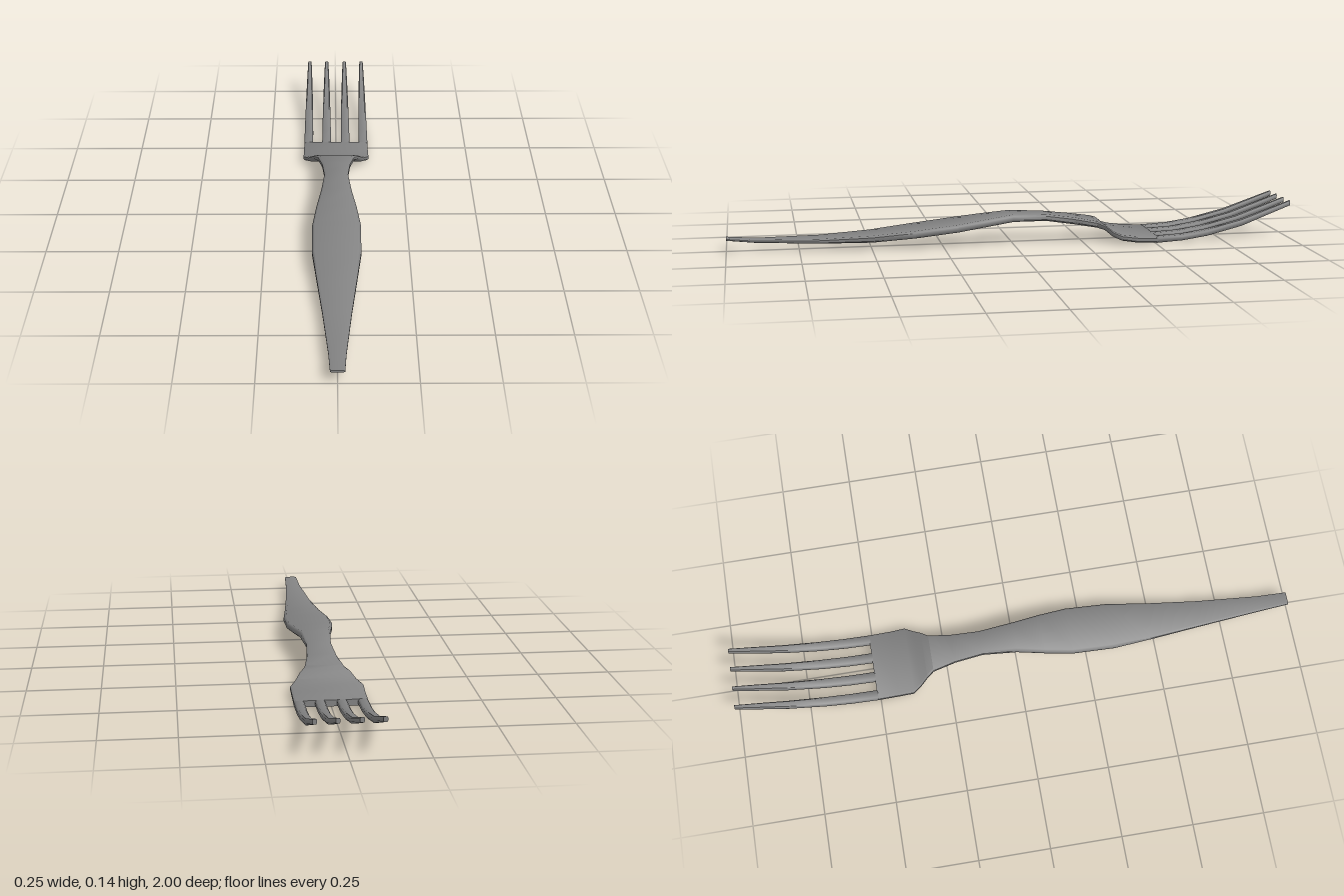
import * as THREE from 'three';
import { toCreasedNormals } from 'three/addons/utils/BufferGeometryUtils.js';

const material = new THREE.MeshStandardMaterial({ color: 0x848484 });

// Lofts a flat bar with bevelled edges through stations [z, centre x, half width, bottom y, top y]
function loft(name, stations) {
  const pos = [], index = [], n = 8;
  for (const [z, cx, w, bottom, top] of stations) {
    const m = (top + bottom) / 2, h = (top - bottom) / 2;
    const c = Math.min(0.008, w * 0.3), s = h * 0.5;
    const ring = [[w, -s], [w, s], [w - c, h], [c - w, h], [-w, s], [-w, -s], [c - w, -h], [w - c, -h]];
    for (const [x, y] of ring) pos.push(cx + x, m + y, z);
  }
  const last = (stations.length - 1) * n;
  for (let i = 0; i < last; i += n) {
    for (let j = 0; j < n; j++) {
      const a = i + j, b = i + (j + 1) % n;
      index.push(a, a + n, b, b, a + n, b + n);
    }
  }
  // End caps
  for (let j = 1; j < n - 1; j++) {
    index.push(0, j, j + 1, last, last + j + 1, last + j);
  }
  const geometry = new THREE.BufferGeometry();
  geometry.setAttribute('position', new THREE.Float32BufferAttribute(pos, 3));
  geometry.setIndex(index);
  const mesh = new THREE.Mesh(toCreasedNormals(geometry, 0.9), material);
  mesh.name = name;
  return mesh;
}

export function createModel() {
  const group = new THREE.Group();
  group.name = 'fork';

  // Handle: narrow end, wide grip, arched neck
  group.add(loft('handle', [
    [1, 0, 0.023, 0.041, 0.049],
    [0.9, 0, 0.028, 0.031, 0.041],
    [0.68, 0, 0.047, 0.024, 0.04],
    [0.5, 0, 0.066, 0.025, 0.049],
    [0.35, 0, 0.083, 0.038, 0.064],
    [0.2, 0, 0.084, 0.054, 0.081],
    [0.1, 0, 0.071, 0.067, 0.094],
    [0, 0, 0.054, 0.079, 0.106],
    [-0.12, 0, 0.043, 0.077, 0.101],
    [-0.22, 0, 0.051, 0.063, 0.088],
    [-0.3, 0, 0.067, 0.051, 0.074],
  ]));

  // Head: flares out and steps down to the roots of the tines
  group.add(loft('head', [
    [-0.3, 0, 0.067, 0.051, 0.074],
    [-0.325, 0, 0.085, 0.045, 0.064],
    [-0.35, 0, 0.103, 0.024, 0.044],
    [-0.38, 0, 0.123, 0.012, 0.033],
    [-0.43, 0, 0.122, 0.004, 0.026],
    [-0.51, 0, 0.122, 0, 0.022],
  ]));

  // Four tapering tines curving upward
  for (const x of [-0.105, -0.036, 0.036, 0.105]) {
    group.add(loft('tine', [
      [-0.505, x, 0.017, 0, 0.022],
      [-0.6, x, 0.0165, 0.006, 0.027],
      [-0.69, x, 0.0155, 0.019, 0.041],
      [-0.82, x, 0.013, 0.051, 0.073],
      [-0.92, x, 0.01, 0.089, 0.108],
      [-1, x, 0.007, 0.119, 0.136],
    ]));
  }
  return group;
}
